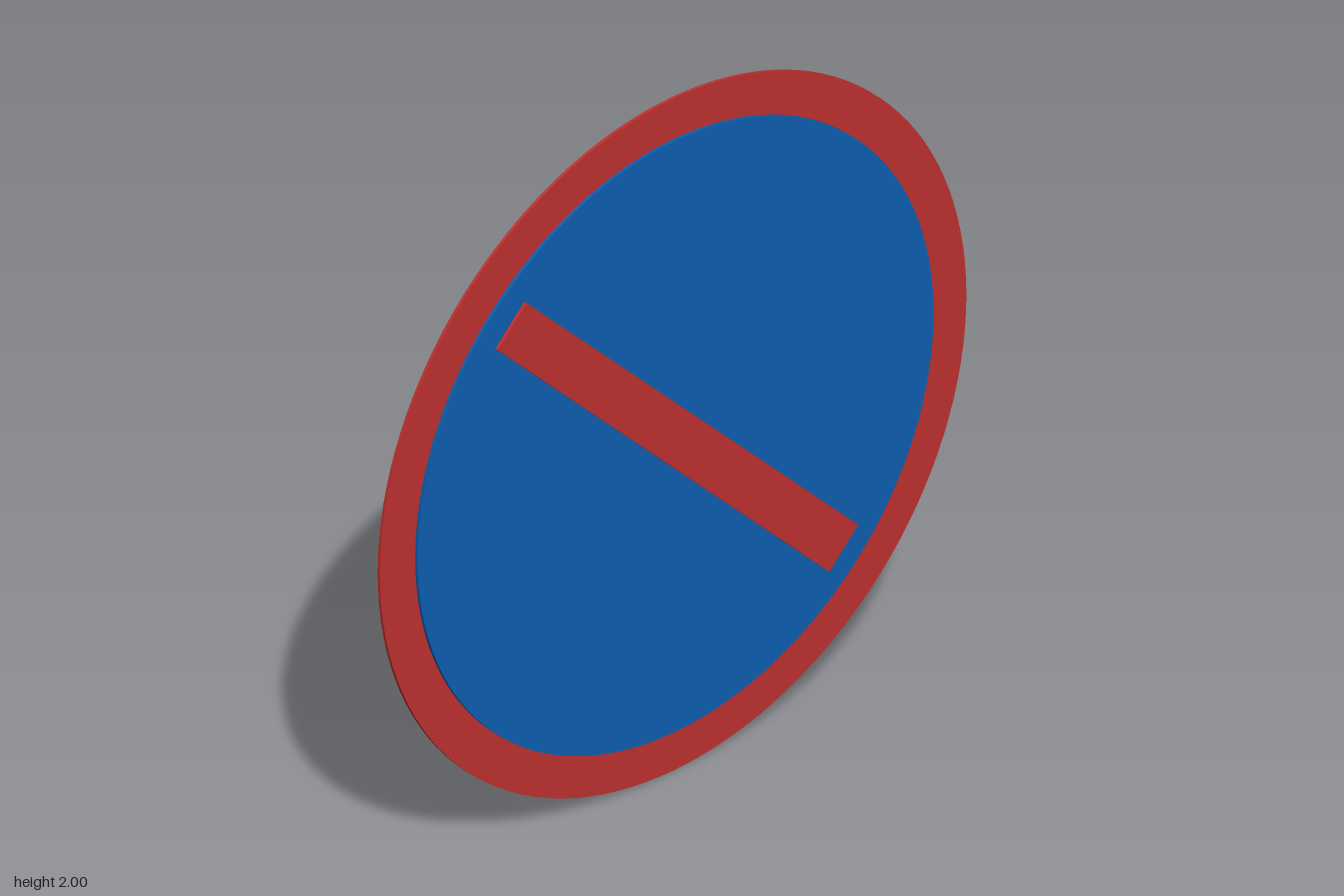
import * as THREE from 'three';

const paint = (color) => new THREE.MeshStandardMaterial({ color });

// Flat disc facing +z, occupying z = back .. back + depth
function disc(name, radius, back, depth, materials) {
  const geometry = new THREE.CylinderGeometry(radius, radius, depth, 128);
  geometry.rotateX(Math.PI / 2);
  const mesh = new THREE.Mesh(geometry, materials);
  mesh.name = name;
  mesh.position.set(0, 1, back + depth / 2);
  return mesh;
}

export function createModel() {
  const sign = new THREE.Group();
  sign.name = 'roadSign';
  const red = paint(0xc03030);
  const blue = paint(0x0d5fb3);
  const grey = paint(0xcccccc);
  const layer = 0.009;

  // Red base plate with a bare grey back (rim, front, back)
  sign.add(disc('basePlate', 1, -1.5 * layer, layer, [red, red, grey]));

  // Raised blue face
  sign.add(disc('blueFace', 0.88, -0.5 * layer, layer, blue));

  // Diagonal bar, from upper left to lower right
  const bar = new THREE.Mesh(new THREE.BoxGeometry(1.6, 0.14, layer), red);
  bar.name = 'diagonalBar';
  bar.position.set(0, 1, layer);
  bar.rotation.z = -Math.PI / 4;
  sign.add(bar);

  return sign;
}
